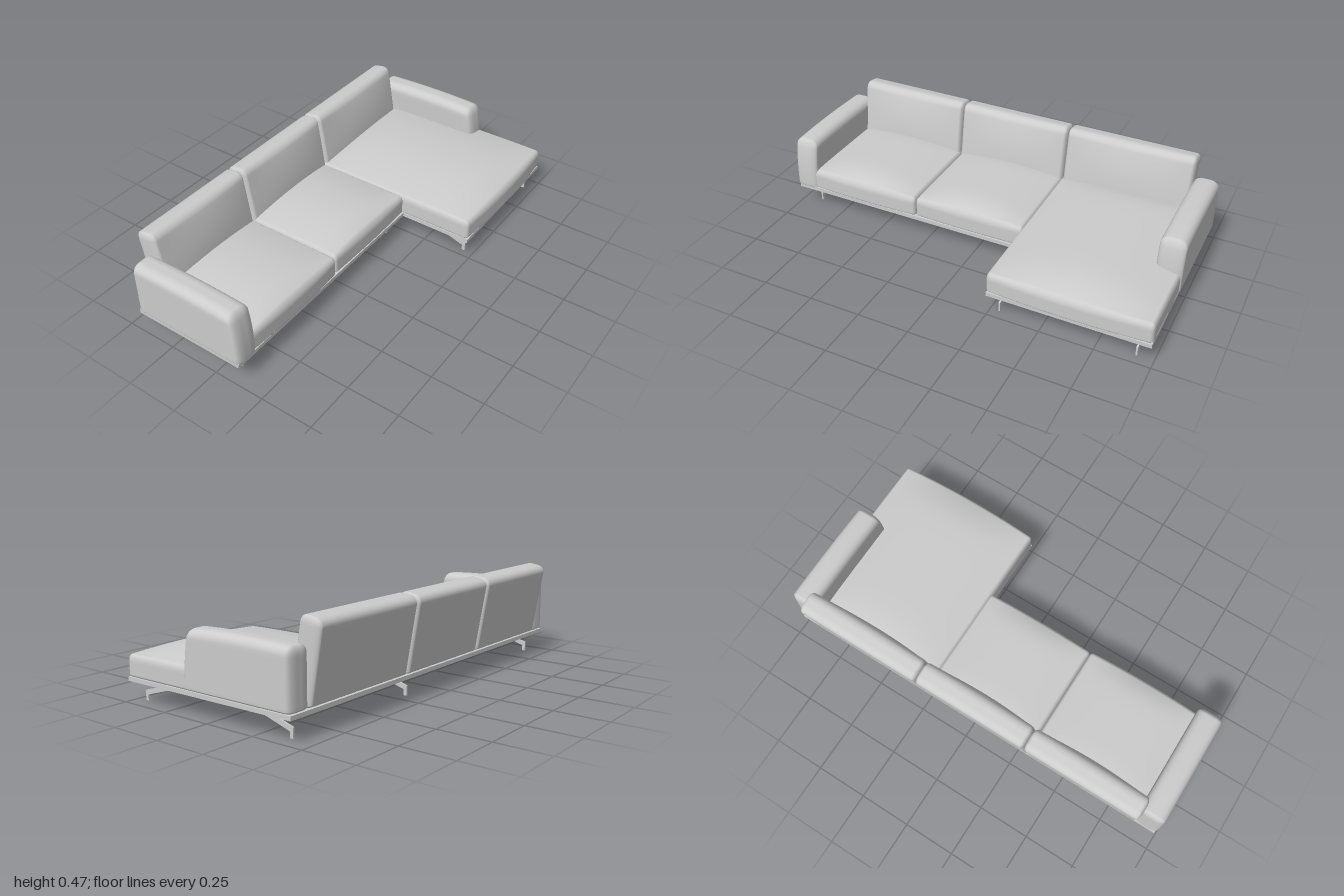
import * as THREE from 'three';
import { mergeVertices } from 'three/addons/utils/BufferGeometryUtils.js';

const material = new THREE.MeshStandardMaterial({ color: 0xcccccc });

const PLATE_TOP = 0.112;
const PLATE_BOTTOM = 0.093;

// Upholstered block: a box with elliptically rounded edges, then deformed by a rule.
// min / max are corners; r holds the edge radii { x, z, top, bottom }.
// deform(p, u, v, w) moves a point; u, v, w run from -1 to 1 across the block.
function softBox(name, min, max, r, deform) {
  const N = 24, K = 5; // segments per side, of which K lie in each rounded edge
  const geo = new THREE.BoxGeometry(2, 2, 2, N, N, N);
  geo.deleteAttribute('uv');
  geo.deleteAttribute('normal');

  // spread the grid so the rounded edges get their own segments
  const place = (t, lo, hi, rLo, rHi) => {
    const i = Math.round((t + 1) / 2 * N);
    if (i <= K) return lo + rLo * (1 - Math.cos(i / K * Math.PI / 2)) * 0.5 + rLo * 0.5 * i / K;
    if (i >= N - K) {
      const j = N - i;
      return hi - rHi * (1 - Math.cos(j / K * Math.PI / 2)) * 0.5 - rHi * 0.5 * j / K;
    }
    return lo + rLo + (hi - rHi - lo - rLo) * (i - K) / (N - 2 * K);
  };
  const inset = (q, lo, hi, rLo, rHi) => Math.min(Math.max(q, lo + rLo), hi - rHi);

  const pos = geo.attributes.position;
  const p = new THREE.Vector3(), c = new THREE.Vector3(), d = new THREE.Vector3();
  for (let i = 0; i < pos.count; i++) {
    p.fromBufferAttribute(pos, i);
    p.set(
      place(p.x, min[0], max[0], r.x, r.x),
      place(p.y, min[1], max[1], r.bottom, r.top),
      place(p.z, min[2], max[2], r.z, r.z));
    c.set(
      inset(p.x, min[0], max[0], r.x, r.x),
      inset(p.y, min[1], max[1], r.bottom, r.top),
      inset(p.z, min[2], max[2], r.z, r.z));
    const ry = p.y > c.y ? r.top : r.bottom;
    d.subVectors(p, c).divide(new THREE.Vector3(r.x, ry, r.z)).normalize();
    p.set(c.x + d.x * r.x, c.y + d.y * ry, c.z + d.z * r.z);
    const [u, v, w] = p.toArray().map((q, k) => (q - min[k]) / (max[k] - min[k]) * 2 - 1);
    deform(p, u, v, w);
    pos.setXYZ(i, p.x, p.y, p.z);
  }
  const smooth = mergeVertices(geo, 1e-5);
  smooth.computeVertexNormals();
  const mesh = new THREE.Mesh(smooth, material);
  mesh.name = name;
  return mesh;
}

// Seat cushion with a crowned top and a slightly bowed front
function seat(name, x0, x1, z0, z1, crown, bow) {
  return softBox(name, [x0, PLATE_TOP, z0], [x1, 0.212, z1],
    { x: 0.016, z: 0.02, top: 0.028, bottom: 0.012 },
    (p, u, v, w) => {
      const across = Math.max(0, 1 - u * u);
      p.y += crown * Math.max(0, v) * across * Math.max(0, 1 - w ** 6);
      if (w > 0) p.z += bow * w ** 4 * across;
    });
}

// Back cushion leaning rearwards, fuller in the middle of its front
function backCushion(name, x0, x1) {
  return softBox(name, [x0, PLATE_TOP, -0.44], [x1, 0.468, -0.332],
    { x: 0.018, z: 0.036, top: 0.034, bottom: 0.012 },
    (p, u, v, w) => {
      const t = (v + 1) / 2;
      const belly = Math.max(0, 1 - u * u) * Math.max(0, 1 - v * v);
      p.z += -0.06 * t + 0.02 * belly * Math.max(0, w);
      p.y += 0.01 * w * t * t;
    });
}

// Armrest with a rounded top and a front that slopes back as it rises
function arm(name, side) {
  const x = [side * 0.878, side * 0.998].sort((a, b) => a - b);
  return softBox(name, [x[0], PLATE_TOP, -0.438], [x[1], 0.377, 0.138],
    { x: 0.042, z: 0.022, top: 0.04, bottom: 0.012 },
    (p, u, v, w) => {
      const t = (v + 1) / 2;
      if (w > 0) p.z -= 0.03 * t ** 2.5 * w;
      p.y -= 0.008 * t * w * w;
    });
}

// Thin bracket leg: two feet joined by a bent bar, drawn in the z-y plane
function leg(name, x, zFront, zBack) {
  const thick = 0.008, foot = 0.016, run = 0.165;
  const half = (z, s) => [ // outline from inner bar to outer bar at one end
    [z - s * run, 0.072], [z - s * foot, 0.027], [z - s * foot, 0],
    [z, 0], [z, 0.045], [z - s * run, PLATE_BOTTOM + 0.001],
  ];
  const outline = [...half(zFront, 1), ...half(zBack, -1).reverse()];
  const shape = new THREE.Shape(outline.map(([z, y]) => new THREE.Vector2(z, y)));
  const geo = new THREE.ExtrudeGeometry(shape, { depth: thick, bevelEnabled: false });
  geo.rotateY(-Math.PI / 2).translate(x + thick / 2, 0, 0);
  const mesh = new THREE.Mesh(geo, material);
  mesh.name = name;
  return mesh;
}

// L-shaped base plate
function basePlate() {
  const outline = [[-0.99, -0.438], [0.99, -0.438], [0.99, 0.487],
    [0.243, 0.487], [0.243, 0.126], [-0.99, 0.126]];
  const shape = new THREE.Shape(outline.map(([x, z]) => new THREE.Vector2(x, z)));
  const geo = new THREE.ExtrudeGeometry(shape,
    { depth: PLATE_TOP - PLATE_BOTTOM, bevelEnabled: false });
  geo.rotateX(Math.PI / 2).translate(0, PLATE_TOP, 0);
  const mesh = new THREE.Mesh(geo, material);
  mesh.name = 'basePlate';
  return mesh;
}

export function createModel() {
  const sofa = new THREE.Group();
  sofa.name = 'cornerSofa';

  sofa.add(
    basePlate(),
    // legs
    leg('rightEndLeg', -0.905, 0.07, -0.393),
    leg('middleLeg', 0.185, 0.07, -0.393),
    leg('chaiseInnerLeg', 0.293, 0.455, -0.012),
    leg('chaiseOuterLeg', 0.923, 0.455, -0.393),
    // seats
    seat('rightSeat', -0.9, -0.315, -0.42, 0.126, 0.036, 0.009),
    seat('middleSeat', -0.315, 0.248, -0.42, 0.122, 0.036, 0.006),
    seat('chaiseSeat', 0.24, 0.992, -0.42, 0.485, 0.045, 0.015),
    // arms
    arm('rightArm', -1),
    arm('leftArm', 1),
    // backs
    backCushion('rightBack', -0.895, -0.318),
    backCushion('middleBack', -0.318, 0.25),
    backCushion('leftBack', 0.25, 0.885),
  );
  return sofa;
}
